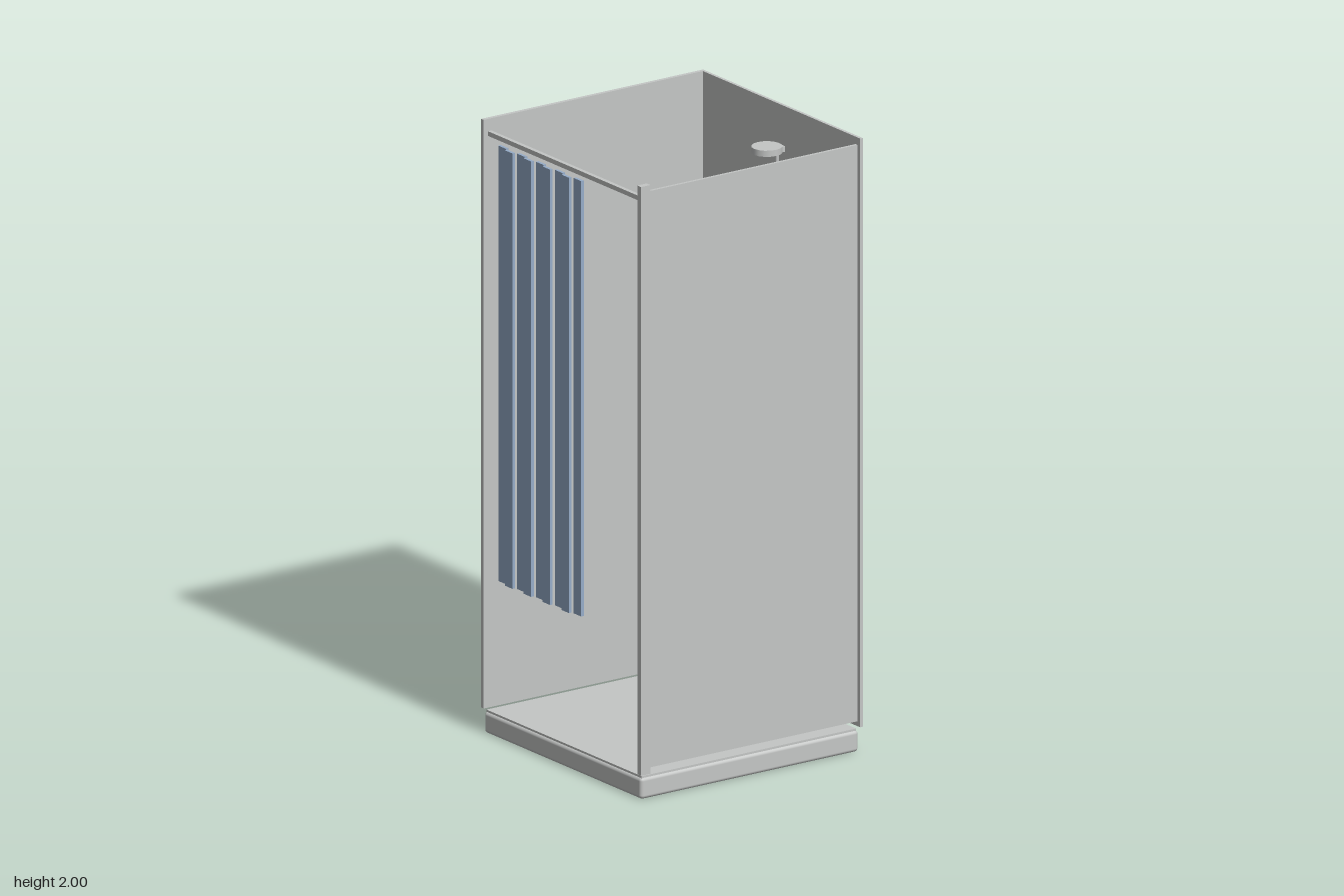
import * as THREE from 'three';
import { RoundedBoxGeometry } from 'three/addons/geometries/RoundedBoxGeometry.js';

export function createModel() {
  const group = new THREE.Group();
  const grey = new THREE.MeshStandardMaterial({ name: 'light grey', color: 0xc5c7c6 });
  const blue = new THREE.MeshStandardMaterial({ name: 'soft blue', color: 0x96adc9 });

  const add = (name, geometry, material) => {
    const mesh = new THREE.Mesh(geometry, material);
    mesh.name = name;
    group.add(mesh);
    return mesh;
  };
  // Box given by its lower and upper limits on each axis
  const box = (name, [x0, x1], [y0, y1], [z0, z1], material = grey) => {
    const mesh = add(name, new THREE.BoxGeometry(x1 - x0, y1 - y0, z1 - z0), material);
    mesh.position.set((x0 + x1) / 2, (y0 + y1) / 2, (z0 + z1) / 2);
    return mesh;
  };

  // Shower tray with softened edges, and the drain cover
  add('tray', new RoundedBoxGeometry(0.836, 0.07, 0.832, 3, 0.012), grey).position.set(0.002, 0.035, 0.004);
  box('trayFloor', [-0.41, 0.414], [0.06, 0.075], [-0.406, 0.414]);
  box('drain', [-0.045, 0.035], [0.074, 0.082], [-0.045, 0.035], blue);

  // Two fixed walls
  box('backWall', [-0.424, 0.424], [0.08, 2], [-0.424, -0.414]);
  box('leftSideWall', [-0.424, -0.411], [0.08, 2], [-0.414, 0.424]);

  // Side panel held by the front corner post
  box('sidePanel', [0.41, 0.42], [0.1, 1.98], [-0.406, 0.388]);
  box('cornerPost', [0.402, 0.422], [0.08, 2], [0.386, 0.422]);

  // Curtain rail and the staggered strips beneath it
  box('curtainRail', [-0.411, 0.402], [1.945, 1.96], [0.394, 0.408]);
  for (let i = 0; i < 9; i++) {
    const x = -0.375 + i * 0.05;
    const z = i % 2 ? 0.395 : 0.384;
    box('curtainStrip', [x, x + 0.04], [0.5, 1.92], [z, z + 0.01], blue);
  }

  // Riser pipe, mixer and overhead disc
  const pipe = add('riserPipe', new THREE.CylinderGeometry(0.006, 0.006, 0.78, 10), grey);
  pipe.position.set(-0.005, 1.47, -0.405);
  box('headBracket', [-0.035, 0.025], [1.852, 1.87], [-0.414, -0.395]);
  box('mixer', [-0.035, 0.025], [1.075, 1.105], [-0.414, -0.398]);
  const head = add('showerHead', new THREE.CylinderGeometry(0.049, 0.049, 0.02, 16), grey);
  head.position.set(-0.005, 1.862, -0.366);

  return group;
}
